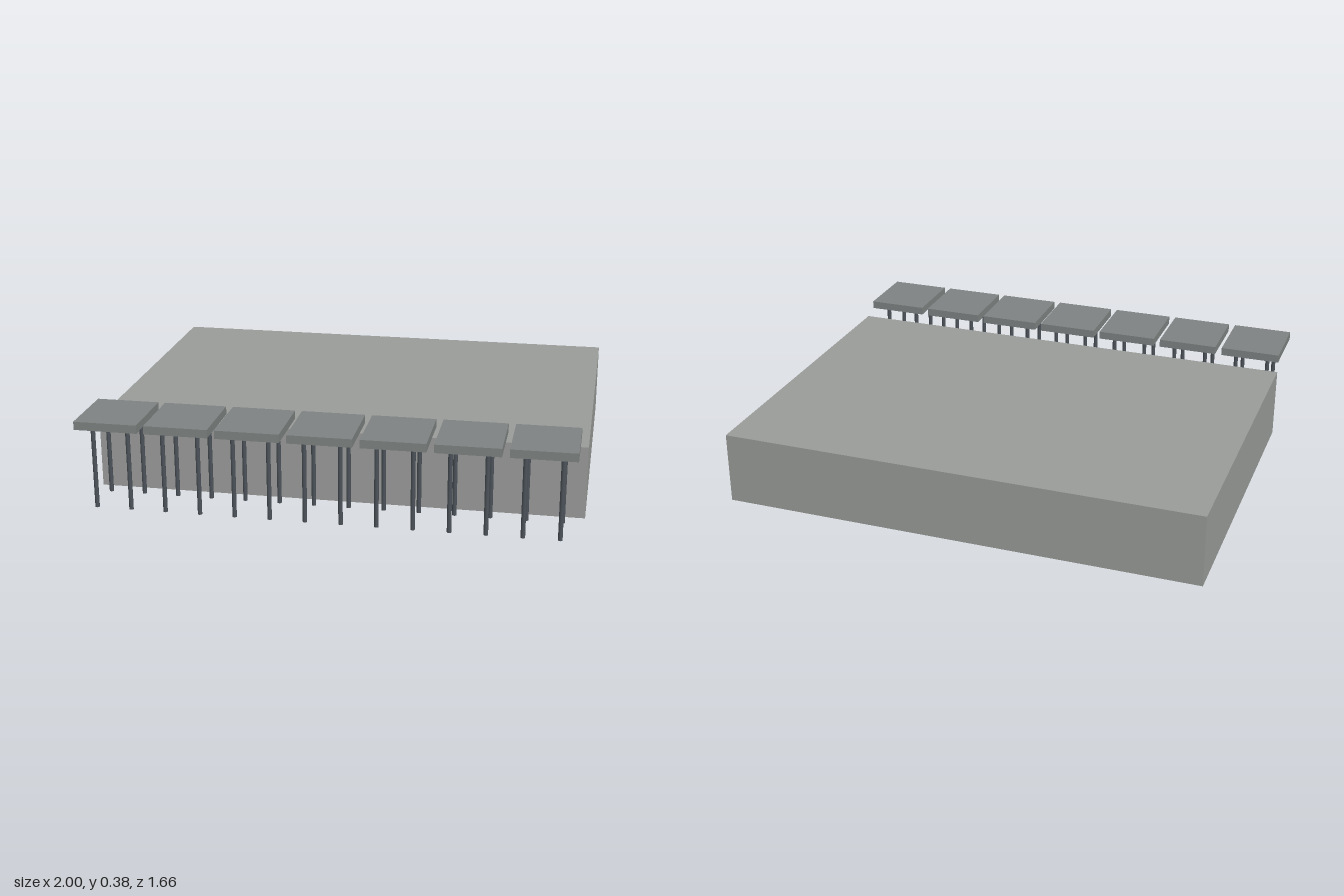
import * as THREE from 'three';

export function createModel() {
  const group = new THREE.Group();
  const blockMat = new THREE.MeshStandardMaterial({ color: 0x9a9c9a });
  const roofMat = new THREE.MeshStandardMaterial({ color: 0x7e8382 });
  const postMat = new THREE.MeshStandardMaterial({ color: 0x4c535a });

  const add = (parent, name, geometry, material, x, y, z) => {
    const mesh = new THREE.Mesh(geometry, material);
    mesh.name = name;
    mesh.position.set(x, y, z);
    parent.add(mesh);
  };

  // Main building block
  const height = 0.3, back = -0.829, front = 0.543;
  add(group, 'building', new THREE.BoxGeometry(2, height, front - back), blockMat,
    0, height / 2, (front + back) / 2);

  // Row of canopies along the front, each on four round posts
  const count = 7, pitch = 2 / count, width = 0.257, depth = 0.286;
  const postTop = 0.346, thickness = 0.034;
  const roofGeo = new THREE.BoxGeometry(width, thickness, depth);
  const postGeo = new THREE.CylinderGeometry(0.009, 0.009, postTop, 12);
  for (let i = 0; i < count; i++) {
    const canopy = new THREE.Group();
    canopy.name = 'canopy' + (i + 1);
    canopy.position.set(-1 + width / 2 + i * pitch, 0, front + depth / 2);
    add(canopy, 'canopyRoof', roofGeo, roofMat, 0, postTop + thickness / 2, 0);
    for (const sx of [-1, 1]) {
      for (const sz of [-1, 1]) {
        add(canopy, 'canopyPost', postGeo, postMat, sx * 0.0715, postTop / 2, sz * 0.0857);
      }
    }
    group.add(canopy);
  }
  return group;
}
